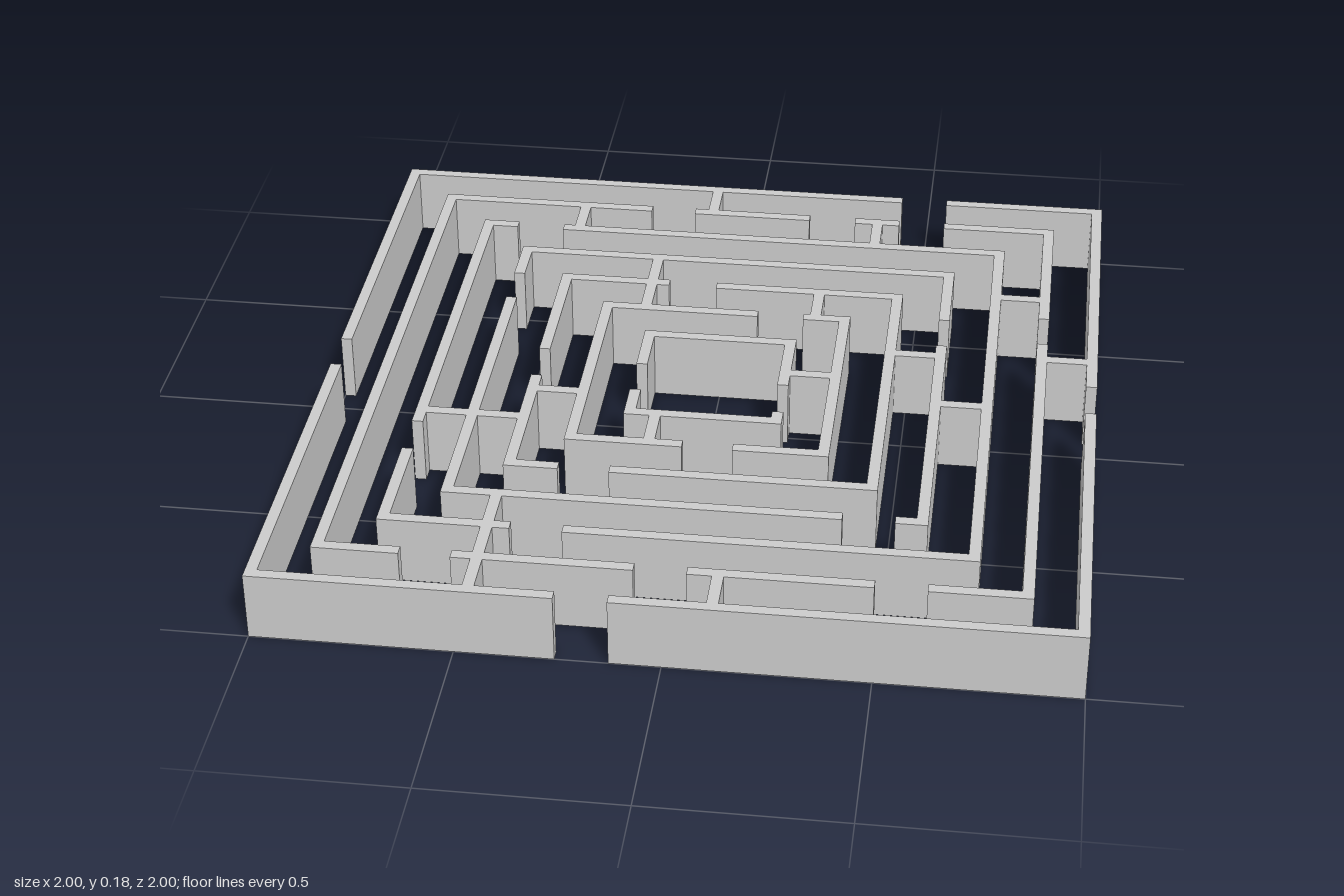
import * as THREE from 'three';

const HEIGHT = 0.18, THICK = 0.029;
const half = (ring) => 1 - ring * 0.1328; // outer half-size of each square ring

// Openings [from, to] in each side of the nested rings, outermost first
const RINGS = [
  { back: [[0.432, 0.558]], front: [[-0.256, -0.127]], left: [[-0.064, 0.06]], right: [[-0.064, 0.06]] },
  {
    back: [[-0.272, -0.149], [0.178, 0.307], [0.432, 0.558]],
    front: [[-0.652, -0.526], [-0.084, 0.044], [0.491, 0.617]],
    left: [[-0.386, -0.26]],
  },
  { back: [[-0.636, -0.507]], front: [[-0.406, -0.277]], right: [[0.3, 0.423]] },
  { front: [[0.392, 0.521]], left: [[-0.348, -0.22]], right: [[-0.455, -0.329]] },
  { back: [[-0.17, -0.041]], front: [[-0.331, -0.202]], right: [[-0.08, 0.048]] },
  { back: [[0.087, 0.21]], front: [[-0.036, 0.092]] },
  { left: [[0.021, 0.147]], right: [[-0.037, 0.086]] },
];

// Cross walls: [side, outer ring index, position along that side]
const CROSS_WALLS = [
  ['back', 0, -0.098], ['back', 1, -0.462], ['back', 1, 0.371],
  ['back', 3, -0.218], ['back', 4, -0.218], ['back', 4, 0.242],
  ['front', 0, -0.462], ['front', 1, -0.462], ['front', 2, -0.462],
  ['front', 0, 0.119], ['front', 5, -0.122],
  ['left', 0, -0.185], ['left', 1, -0.485], ['left', 2, 0.059],
  ['left', 3, -0.17], ['left', 5, -0.04],
  ['right', 2, 0.243], ['right', 3, 0.243], ['right', 4, 0.11],
];

export function createModel() {
  const maze = new THREE.Group();
  maze.name = 'maze';
  const material = new THREE.MeshStandardMaterial({ color: 0xcccccc });

  // Wall along a side (a0..a1), lying between distances d0..d1 from the centre
  function addWall(parent, name, side, a0, a1, d0, d1) {
    const alongX = side === 'back' || side === 'front';
    const sign = side === 'back' || side === 'right' ? -1 : 1;
    const length = a1 - a0, depth = d1 - d0;
    const along = (a0 + a1) / 2, out = sign * (d0 + d1) / 2;
    const wall = new THREE.Mesh(
      new THREE.BoxGeometry(alongX ? length : depth, HEIGHT, alongX ? depth : length), material);
    wall.position.set(alongX ? along : out, HEIGHT / 2, alongX ? out : along);
    wall.name = name;
    parent.add(wall);
  }

  // Nested square rings, each side split at its openings
  RINGS.forEach((gaps, i) => {
    const ring = new THREE.Group();
    ring.name = `ringWall${i + 1}`;
    const h = half(i);
    for (const side of ['back', 'front', 'left', 'right']) {
      // Front and back walls own the corners
      const end = side === 'back' || side === 'front' ? h : h - THICK;
      let start = -end;
      for (const [from, to] of [...(gaps[side] || []), [end, end]]) {
        addWall(ring, `${side}Wall`, side, start, from, h - THICK, h);
        start = to;
      }
    }
    maze.add(ring);
  });

  // Short walls blocking the corridors between neighbouring rings
  const crossWalls = new THREE.Group();
  crossWalls.name = 'crossWalls';
  for (const [side, i, at] of CROSS_WALLS) {
    addWall(crossWalls, `${side}CrossWall`, side, at - THICK / 2, at + THICK / 2, half(i + 1), half(i) - THICK);
  }
  maze.add(crossWalls);

  return maze;
}
